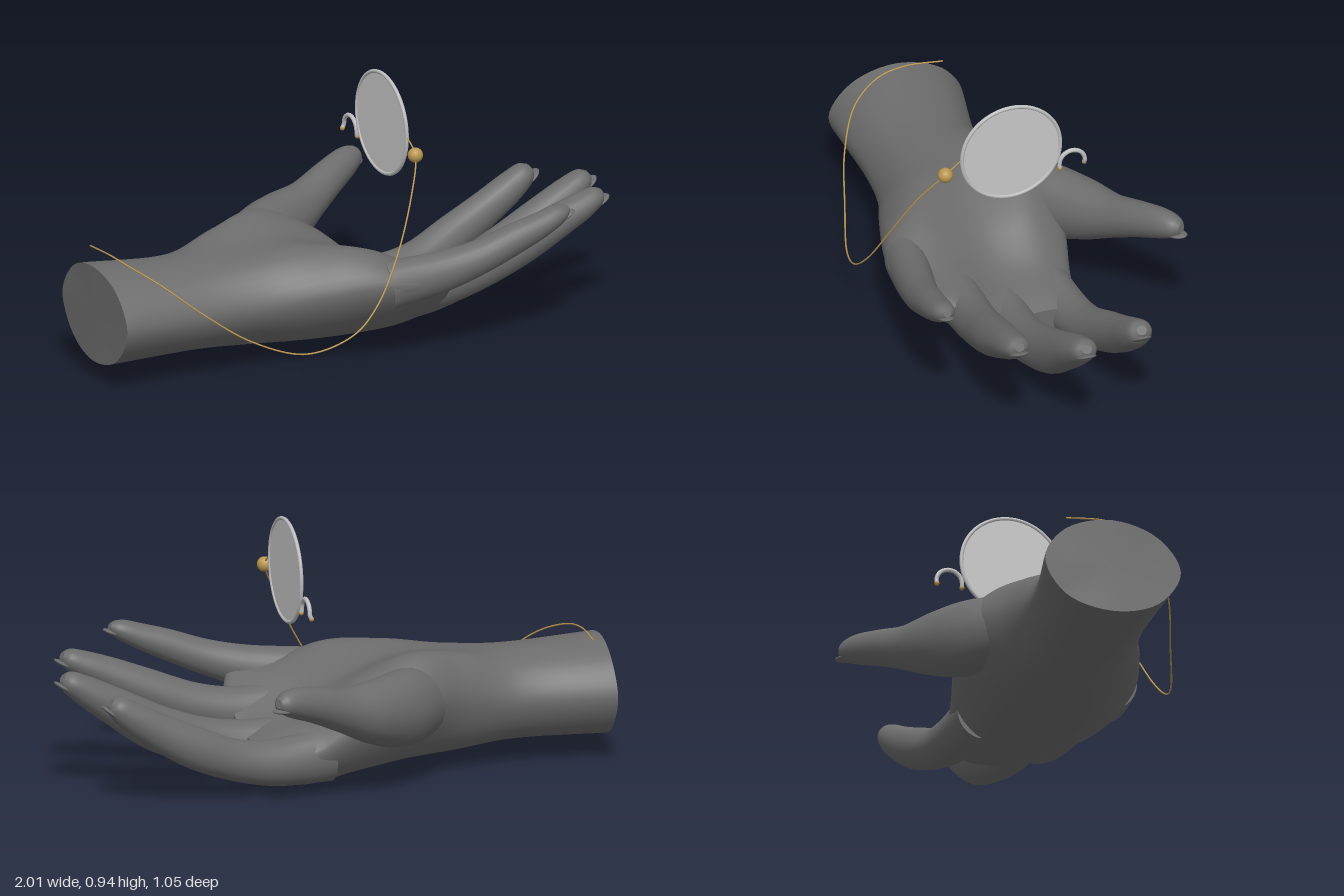
import * as THREE from 'three';

const V = (x, y, z) => new THREE.Vector3(x, y, z);

// Smooth skin through rings of eight points; the ends are closed.
function loft(rings, rows, segs) {
  const rails = rings[0].map((_, j) => new THREE.CatmullRomCurve3(rings.map(r => r[j])));
  const pos = [], idx = [];
  const push = p => pos.push(p.x, p.y, p.z) / 3 - 1;
  const loops = [];
  for (let i = 0; i <= rows; i++) {
    const loop = new THREE.CatmullRomCurve3(rails.map(c => c.getPoint(i / rows)), true);
    const pts = [];
    for (let j = 0; j < segs; j++) pts.push(loop.getPoint(j / segs));
    loops.push(pts);
    pts.forEach(push);
  }
  for (let i = 0; i < rows; i++) for (let j = 0; j < segs; j++) {
    const k = (j + 1) % segs;
    const a = i * segs + j, b = i * segs + k, c = b + segs, d = a + segs;
    idx.push(a, b, d, b, c, d);
  }
  [0, rows].forEach(i => {
    const mid = loops[i].reduce((s, p) => s.add(p), V(0, 0, 0)).divideScalar(segs);
    const m = push(mid);
    const first = m + 1;
    loops[i].forEach(push);
    for (let j = 0; j < segs; j++) {
      const a = first + j, b = first + (j + 1) % segs;
      if (i) idx.push(m, a, b); else idx.push(m, b, a);
    }
  });
  const g = new THREE.BufferGeometry();
  g.setAttribute('position', new THREE.Float32BufferAttribute(pos, 3));
  g.setIndex(idx);
  g.computeVertexNormals();
  return g;
}

// Palm and wrist: x, then (z, y) pairs from the thumb side over the palm and back below.
const PALM = [
  [-0.99, -.175, .25, -.10, .37, .07, .42, .24, .37, .32, .25, .24, .12, .07, .07, -.10, .12],
  [-0.65, -.12, .25, -.06, .36, .08, .40, .24, .36, .31, .24, .24, .12, .08, .07, -.06, .12],
  [-0.45, -.15, .29, -.08, .42, .08, .41, .25, .38, .335, .25, .26, .12, .08, .05, -.08, .11],
  [-0.25, -.24, .32, -.12, .45, .08, .41, .28, .41, .40, .28, .30, .11, .08, .04, -.12, .10],
  [-0.05, -.22, .25, -.10, .36, .10, .34, .34, .40, .455, .30, .34, .12, .08, .025, -.12, .06],
  [0.12, -.185, .14, -.10, .22, .10, .24, .32, .33, .475, .30, .36, .14, .10, .02, -.10, .015],
  [0.25, -.18, .12, -.10, .18, .10, .20, .28, .28, .42, .31, .34, .17, .10, .04, -.10, .03],
  [0.31, -.12, .12, -.07, .16, .10, .17, .24, .24, .32, .25, .28, .19, .10, .07, -.07, .06],
];

// Digits: x, y, z, half width, half thickness from root to tip.
const DIGITS = {
  indexFinger: [[.05, .12, -.10, .08, .10], [.25, .11, -.12, .08, .085], [.40, .135, -.14, .072, .075],
    [.56, .20, -.165, .066, .075], [.70, .275, -.173, .06, .065], [.81, .345, -.175, .055, .053], [.86, .383, -.175, .042, .038]],
  middleFinger: [[.05, .13, .08, .085, .10], [.28, .12, .095, .08, .09], [.45, .15, .09, .074, .083],
    [.62, .21, .075, .075, .083], [.78, .305, .07, .066, .068], [.90, .38, .067, .057, .052], [.96, .418, .065, .042, .036]],
  ringFinger: [[.05, .20, .26, .085, .10], [.28, .20, .255, .078, .085], [.44, .235, .26, .073, .078],
    [.60, .30, .275, .073, .072], [.74, .365, .285, .063, .06], [.84, .41, .29, .054, .047], [.89, .435, .29, .04, .033]],
  littleFinger: [[0, .28, .39, .075, .09], [.20, .31, .425, .068, .075], [.34, .35, .45, .062, .062],
    [.47, .40, .465, .055, .055], [.57, .438, .473, .05, .045], [.63, .464, .475, .042, .036], [.655, .474, .475, .032, .026]],
  thumb: [[-.38, .28, -.04, .08, .10], [-.20, .29, -.19, .11, .14], [-.05, .315, -.29, .10, .115],
    [.08, .35, -.355, .075, .08], [.20, .395, -.415, .062, .065], [.30, .425, -.468, .05, .053], [.345, .432, -.495, .036, .036]],
};

function buildDigit(name, rows, mat) {
  const group = new THREE.Group();
  group.name = name;
  const centres = rows.map(r => V(r[0], r[1], r[2]));
  const n = rows.length;
  const frames = centres.map((c, i) => {
    const t = centres[Math.min(i + 1, n - 1)].clone().sub(centres[Math.max(i - 1, 0)]).normalize();
    const side = t.clone().cross(V(0, 1, 0)).normalize();
    return { c, t, side, up: side.clone().cross(t) };
  });
  const ring = (f, w, h, ahead = 0) => Array.from({ length: 8 }, (_, j) => {
    const a = j * Math.PI / 4;
    return f.c.clone().addScaledVector(f.t, ahead)
      .addScaledVector(f.side, -w * Math.cos(a)).addScaledVector(f.up, h * Math.sin(a));
  });
  const rings = frames.map((f, i) => ring(f, rows[i][3], rows[i][4]));
  const tip = frames[n - 1], [, , , w, h] = rows[n - 1];
  rings.push(ring(tip, w * 0.45, h * 0.45, 0.02));
  const flesh = new THREE.Mesh(loft(rings, 36, 24), mat);
  flesh.name = name + 'Flesh';
  group.add(flesh);

  // Nail on the back of the tip, reaching a little past it
  const nail = new THREE.Mesh(new THREE.SphereGeometry(1, 16, 10), mat);
  nail.name = name + 'Nail';
  nail.scale.set(0.045, 0.009, w * 0.85);
  nail.setRotationFromMatrix(new THREE.Matrix4().makeBasis(tip.t, tip.up, tip.side));
  nail.position.copy(tip.c).addScaledVector(tip.up, -h * 0.75).addScaledVector(tip.t, -0.005);
  group.add(nail);
  return group;
}

export function createModel() {
  const model = new THREE.Group();
  model.name = 'handWithEyeglass';
  const skin = new THREE.MeshStandardMaterial({ color: 0x6c6c6c });
  skin.name = 'stone grey';
  const silver = new THREE.MeshStandardMaterial({ color: 0xbebebe });
  silver.name = 'silver';
  const glass = new THREE.MeshStandardMaterial({ color: 0xc8c8c8 });
  glass.name = 'pale glass';
  const gold = new THREE.MeshStandardMaterial({ color: 0xba9650 });
  gold.name = 'gold';

  const add = (name, geo, mat, parent = model) => {
    const m = new THREE.Mesh(geo, mat);
    m.name = name;
    parent.add(m);
    return m;
  };

  // Hand
  const hand = new THREE.Group();
  hand.name = 'hand';
  model.add(hand);
  const palmRings = PALM.map(([x, ...p]) =>
    Array.from({ length: 8 }, (_, j) => V(x - (x < -0.9 && j > 1 && j < 7 ? 0.01 : 0), p[2 * j + 1], p[2 * j])));
  add('palmAndWrist', loft(palmRings, 56, 48), skin, hand);
  for (const name in DIGITS) hand.add(buildDigit(name, DIGITS[name], skin));

  // Round lens standing in the plane across x
  const lens = new THREE.Group();
  lens.name = 'eyeglass';
  lens.position.set(0.16, 0.755, 0.055);
  model.add(lens);
  add('lensRim', new THREE.TorusGeometry(0.183, 0.007, 10, 72), silver, lens).rotation.y = Math.PI / 2;
  add('lensGlass', new THREE.CylinderGeometry(0.18, 0.18, 0.004, 72), glass, lens).rotation.z = Math.PI / 2;

  // Nose hook beside the lens
  const hook = Array.from({ length: 9 }, (_, i) => {
    const a = Math.PI * i / 8;
    return V(0.158, 0.663 + 0.047 * Math.sin(a), -0.173 + 0.047 * Math.cos(a));
  });
  hook.unshift(V(0.16, 0.648, -0.126));
  hook.push(V(0.152, 0.65, -0.22));
  add('noseHook', new THREE.TubeGeometry(new THREE.CatmullRomCurve3(hook), 36, 0.008, 10), silver);
  [hook[0], hook[hook.length - 1]].forEach(p => {
    const pad = add('hookTip', new THREE.SphereGeometry(0.009, 12, 8), gold);
    pad.position.copy(p);
  });

  // Gold bead and the fine chain that hangs from it to the wrist
  add('bead', new THREE.SphereGeometry(0.027, 24, 16), gold).position.set(0.16, 0.71, 0.30);
  const chain = new THREE.CatmullRomCurve3([
    V(.16, .755, .245), V(.16, .71, .30), V(.10, .59, .38), V(0, .40, .455), V(-.10, .25, .495),
    V(-.20, .165, .508), V(-.37, .115, .478), V(-.55, .17, .42), V(-.72, .285, .36),
    V(-.84, .385, .28), V(-.91, .435, .17), V(-.93, .449, .06), V(-.93, .44, -.08)]);
  add('chain', new THREE.TubeGeometry(chain, 140, 0.003, 6), gold);
  return model;
}
